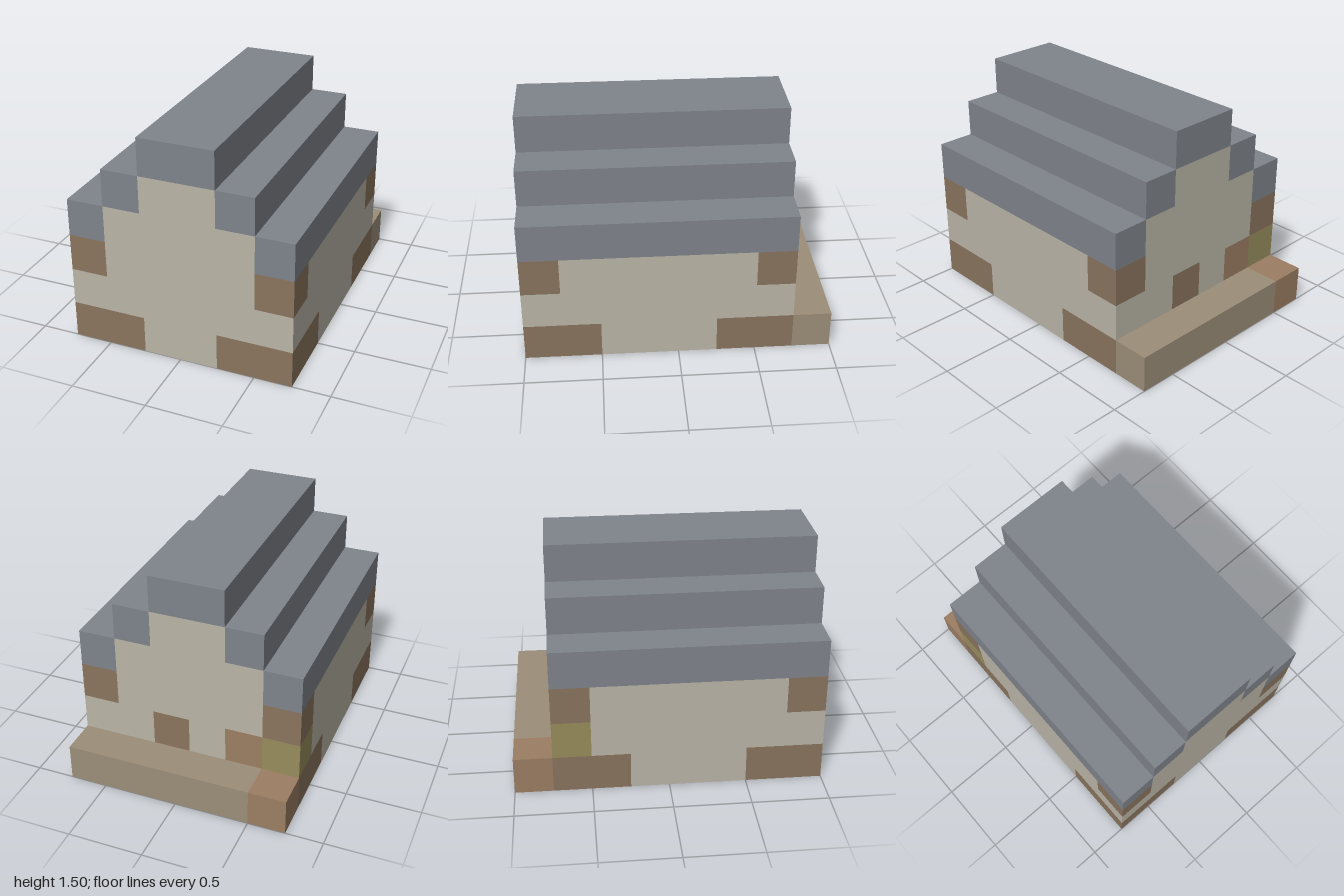
import * as THREE from 'three';

const S = 0.25; // block size
const PLASTER = 0xbab5a7, TIMBER = 0x8a745e, SLATE = 0x7f848b, STONE = 0x9c8e79;
const TAN = 0x9c7e63, OLIVE = 0x978d5c, EARTH = 0x574e46;

const V = (x, y, z) => new THREE.Vector3(x, y, z);

// one mesh made of flat quads, corners counter-clockwise from outside
function quadMesh(name, color, quads) {
  const pos = [];
  for (const [a, b, c, d] of quads) for (const p of [a, b, c, a, c, d]) pos.push(p.x, p.y, p.z);
  const geometry = new THREE.BufferGeometry();
  geometry.setAttribute('position', new THREE.Float32BufferAttribute(pos, 3));
  geometry.computeVertexNormals();
  const mesh = new THREE.Mesh(geometry,
    new THREE.MeshStandardMaterial({ color, side: THREE.DoubleSide }));
  mesh.name = name;
  return mesh;
}

// wall of square blocks: colorAt(column, row) gives a color, or null for no block
function blockWall(name, columns, rows, origin, along, colorAt) {
  const byColor = new Map();
  const at = (i, j) => origin.clone().addScaledVector(along, i * S).add(V(0, j * S, 0));
  for (let i = 0; i < columns; i++) for (let j = 0; j < rows; j++) {
    const color = colorAt(i, j);
    if (color === null) continue;
    if (!byColor.has(color)) byColor.set(color, []);
    byColor.get(color).push([at(i, j), at(i + 1, j), at(i + 1, j + 1), at(i, j + 1)]);
  }
  const names = { [PLASTER]: 'Plaster', [TIMBER]: 'Timber', [SLATE]: 'Eave', [STONE]: 'Stone',
    [TAN]: 'TanBlock', [OLIVE]: 'OliveBlock' };
  const group = new THREE.Group();
  group.name = name;
  for (const [color, quads] of byColor) group.add(quadMesh(name + names[color], color, quads));
  return group;
}

// stepped gable, columns counted from -x
function gableColor(i, j) {
  const top = [4, 5, 6, 6, 5, 4][i];
  if (j >= top) return null;
  if (j === top - 1) return SLATE;
  if (j === 0 && i !== 2 && i !== 3) return TIMBER;
  if (j === 2 && (i === 0 || i === 5)) return TIMBER;
  return PLASTER;
}

function backColor(i, j) {
  if (j === 0) return null; // open behind the step
  if (j === 1 && i === 0) return OLIVE;
  if (j === 1 && i === 1) return TAN;
  if (j === 1 && i === 3) return TIMBER;
  return gableColor(i, j);
}

// long side, columns counted from the back
function sideColor(k, j) {
  if (j === 3) return SLATE;
  if (j === 0 && (k < 2 || k > 4)) return TIMBER;
  if (j === 2 && (k === 0 || k === 6)) return TIMBER;
  return PLASTER;
}

export function createModel() {
  const model = new THREE.Group();
  model.name = 'steppedHut';
  const X = V(1, 0, 0), Z = V(0, 0, 1), mX = V(-1, 0, 0), mZ = V(0, 0, -1);

  // outer walls
  model.add(blockWall('frontWall', 6, 6, V(-0.75, 0, 1), X, gableColor));
  model.add(blockWall('backWall', 6, 6, V(0.75, 0, -0.75), mX, (i, j) => backColor(5 - i, j)));
  model.add(blockWall('leftWall', 7, 4, V(0.75, 0, 1), mZ, (i, j) => sideColor(6 - i, j)));
  model.add(blockWall('rightWall', 7, 4, V(-0.75, 0, -0.75), Z,
    (k, j) => (k === 0 && j === 1 ? OLIVE : sideColor(k, j))));

  // stepped roof: treads and risers swept from front to back
  const half = [[0.75, 1], [0.5, 1], [0.5, 1.25], [0.25, 1.25], [0.25, 1.5]];
  const steps = [...half.map(([x, y]) => [-x, y]), ...half.slice().reverse()];
  model.add(quadMesh('roof', SLATE, steps.slice(1).map(([bx, by], n) => {
    const [ax, ay] = steps[n];
    return [V(ax, ay, 1), V(bx, by, 1), V(bx, by, -0.75), V(ax, ay, -0.75)];
  })));

  // low step along the back, open underneath
  const stepColor = (i) => (i === 0 ? TAN : STONE);
  model.add(blockWall('stepBack', 6, 1, V(0.75, 0, -1), mX, (i) => stepColor(5 - i)));
  model.add(blockWall('stepLeftEnd', 1, 1, V(0.75, 0, -0.75), mZ, () => STONE));
  model.add(blockWall('stepRightEnd', 1, 1, V(-0.75, 0, -1), Z, () => TAN));
  const tread = (x0, x1) => [V(x0, S, -0.75), V(x1, S, -0.75), V(x1, S, -1), V(x0, S, -1)];
  model.add(quadMesh('stepTop', STONE, [tread(-0.5, 0.75)]));
  model.add(quadMesh('stepTopCorner', TAN, [tread(-0.75, -0.5)]));

  // inner room with a stepped ceiling
  const room = new THREE.Shape([[-0.5, 0.25], [0.5, 0.25], [0.5, 1], [0.25, 1], [0.25, 1.25],
    [-0.25, 1.25], [-0.25, 1], [-0.5, 1]].map(([x, y]) => new THREE.Vector2(x, y)));
  const roomMesh = new THREE.Mesh(
    new THREE.ExtrudeGeometry(room, { depth: 1.25, bevelEnabled: false }),
    new THREE.MeshStandardMaterial({ color: PLASTER, side: THREE.DoubleSide }));
  roomMesh.position.z = -0.5;
  roomMesh.name = 'innerRoom';
  model.add(roomMesh);
  model.add(quadMesh('floor', EARTH, [
    [V(-0.5, 0.248, -0.5), V(0.5, 0.248, -0.5), V(0.5, 0.248, 0.75), V(-0.5, 0.248, 0.75)]]));
  model.add(blockWall('innerDoor', 1, 1, V(0.25, 0.25, -0.502), mX, () => TIMBER));

  return model;
}
